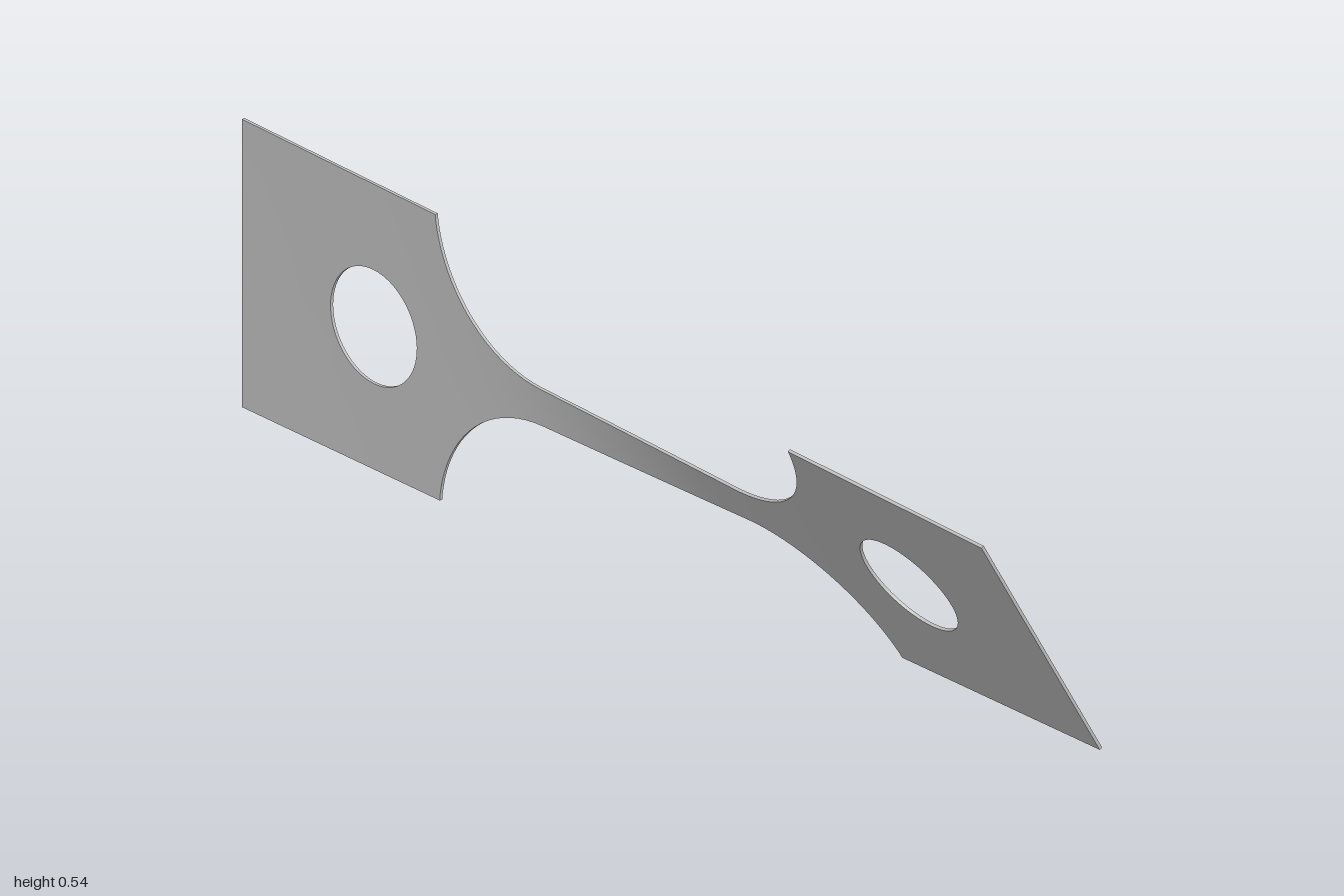
import * as THREE from 'three';
import { mergeGeometries, toCreasedNormals } from 'three/addons/utils/BufferGeometryUtils.js';

const MID_Y = 0.271, HALF = 0.271, NECK = 0.0365, T = 0.003;
const NECK_X = 0.25, PAD_X = 0.51, FILLET = 0.262;
const HOLE_X = 0.67, HOLE_R = 0.108, TWIST = Math.PI / 6;

// Half height of the strip: wide pads, round fillets, narrow neck
function halfHeight(x) {
  const d = Math.abs(x) - NECK_X;
  if (d <= 0) return NECK;
  if (d >= PAD_X - NECK_X) return HALF;
  return Math.min(HALF, NECK + FILLET - Math.sqrt(FILLET * FILLET - d * d));
}

// Half height of the round hole at x
function holeHalf(x) {
  const d = Math.abs(x) - HOLE_X;
  return Math.sqrt(Math.max(0, HOLE_R * HOLE_R - d * d));
}

// Twist accumulates fastest where the strip is narrow
const STEPS = 800, twistSum = [0];
for (let i = 0; i < STEPS; i++) {
  twistSum.push(twistSum[i] + Math.pow(halfHeight(-1 + (2 * (i + 0.5)) / STEPS), -1.4));
}
function twistAt(x) {
  const f = THREE.MathUtils.clamp(((x + 1) / 2) * STEPS, 0, STEPS);
  const i = Math.min(STEPS - 1, Math.floor(f));
  return (TWIST * THREE.MathUtils.lerp(twistSum[i], twistSum[i + 1], f - i)) / twistSum[STEPS];
}

// Flat strip position to twisted position
function place(x, y, z) {
  const a = twistAt(x), c = Math.cos(a), s = Math.sin(a);
  return [x, MID_Y + y * c - z * s, y * s + z * c];
}

// Grid surface over us and vs, facing du x dv unless flipped
function patch(us, vs, fn, flip = false) {
  const pos = [], index = [], n = vs.length;
  us.forEach((u) => vs.forEach((v) => pos.push(...place(...fn(u, v)))));
  for (let i = 0; i < us.length - 1; i++) {
    for (let j = 0; j < n - 1; j++) {
      const a = i * n + j, b = a + n, c = b + 1, d = a + 1;
      index.push(...(flip ? [a, c, b, a, d, c] : [a, b, c, a, c, d]));
    }
  }
  const g = new THREE.BufferGeometry();
  g.setAttribute('position', new THREE.Float32BufferAttribute(pos, 3));
  g.setIndex(index);
  g.computeVertexNormals();
  return g;
}

const range = (n, fn) => Array.from({ length: n + 1 }, (_, i) => fn(i / n));

export function createModel() {
  const group = new THREE.Group();
  group.name = 'twistedTestStrip';
  const steel = new THREE.MeshStandardMaterial({ color: 0xbfbfbf });
  steel.name = 'greySteel';

  // Stations along the strip, denser round the holes and fillets
  const holeXs = range(32, (t) => HOLE_X - HOLE_R * Math.cos(Math.PI * t));
  const filletXs = range(20, (t) => NECK_X + (PAD_X - NECK_X) * Math.sin((t * Math.PI) / 2));
  const rightXs = [
    ...range(8, (t) => NECK_X * t).slice(1, -1), ...filletXs,
    ...holeXs, ...range(4, (t) => HOLE_X + HOLE_R + (1 - HOLE_X - HOLE_R) * t).slice(1),
  ];
  const xs = [...rightXs.map((x) => -x).reverse(), 0, ...rightXs];
  const across = range(6, (t) => t), depth = [-T, T];
  const parts = [];

  for (const side of [1, -1]) {
    // Front and back faces, upper and lower halves around the holes
    for (const z of [T, -T]) {
      parts.push(patch(xs, across, (x, v) => {
        const g = holeHalf(x);
        return [x, side * (g + (halfHeight(x) - g) * v), z];
      }, side * z < 0));
    }
    // Long outer edges
    parts.push(patch(xs, depth, (x, z) => [x, side * halfHeight(x), z], side > 0));
    // Hole walls
    for (const end of [1, -1]) {
      parts.push(patch(holeXs, depth, (x, z) => [end * x, side * holeHalf(x), z], side * end < 0));
    }
    // Short end edges
    parts.push(patch([-HALF, HALF], depth, (y, z) => [side, y, z], side < 0));
  }

  const strip = new THREE.Mesh(toCreasedNormals(mergeGeometries(parts), 0.6), steel);
  strip.name = 'twistedStrip';
  group.add(strip);
  return group;
}
